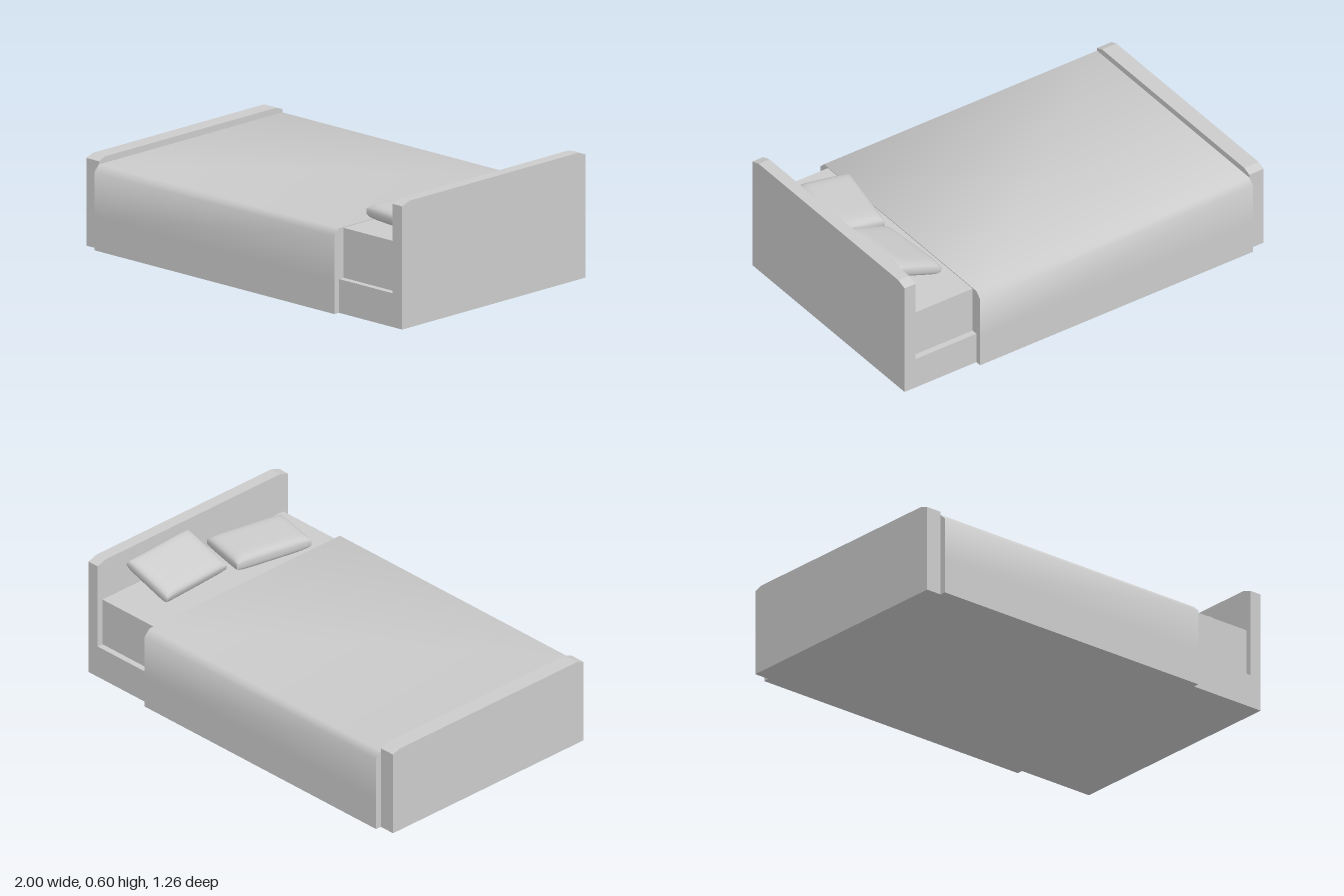
import * as THREE from 'three';
import { mergeVertices, toCreasedNormals } from 'three/addons/utils/BufferGeometryUtils.js';

const material = new THREE.MeshStandardMaterial({ color: 0xcccccc });

function part(name, geometry) {
  const mesh = new THREE.Mesh(geometry, material);
  mesh.name = name;
  return mesh;
}

// Box given by its x and y ranges, centred on z
function block(name, x0, x1, y0, y1, depth) {
  const geometry = new THREE.BoxGeometry(x1 - x0, y1 - y0, depth);
  geometry.translate((x0 + x1) / 2, (y0 + y1) / 2, 0);
  return part(name, geometry);
}

// Mirrored half profile of [z, y] points, running bottom to top, extruded along x
function profileAlongX(half, x0, x1) {
  const points = [...half, ...half.map(([z, y]) => [-z, y]).reverse()];
  const shape = new THREE.Shape(points.map(([z, y]) => new THREE.Vector2(z, y)));
  const geometry = new THREE.ExtrudeGeometry(shape, { depth: x1 - x0, bevelEnabled: false });
  return geometry.rotateY(Math.PI / 2).translate(x0, 0, 0);
}

// Cushion: square-cornered in plan, thinning smoothly towards its four edges
function pillow(name, width, thickness, length) {
  const geometry = new THREE.BoxGeometry(2, 2, 2, 14, 2, 14);
  geometry.deleteAttribute('uv');
  geometry.deleteAttribute('normal');
  const p = geometry.attributes.position;
  for (let i = 0; i < p.count; i++) {
    const u = Math.sin(p.getX(i) * Math.PI / 2);
    const v = Math.sin(p.getZ(i) * Math.PI / 2);
    const puff = Math.sqrt(Math.max(0, (1 - Math.abs(u) ** 8) * (1 - Math.abs(v) ** 8)));
    const y = p.getY(i) * (0.3 + 0.7 * puff);
    p.setXYZ(i, u * width / 2, y * thickness / 2, v * length / 2);
  }
  const smooth = mergeVertices(geometry);
  smooth.computeVertexNormals();
  return part(name, smooth);
}

export function createModel() {
  const bed = new THREE.Group();
  bed.name = 'bed';

  // Frame and mattress
  bed.add(block('frame', -0.92, 0.94, 0, 0.16, 1.2));
  bed.add(block('mattress', -0.92, 0.94, 0.16, 0.396, 1.14));

  // End boards with clipped top corners
  bed.add(part('headboard', profileAlongX([[0.6, 0], [0.6, 0.583], [0.55, 0.6]], 0.94, 1)));
  bed.add(part('footboard', profileAlongX([[0.6, 0], [0.6, 0.415], [0.56, 0.43]], -1, -0.92)));

  // Blanket hanging to the floor, with softly shaded folds
  const blanket = profileAlongX([[0.63, 0], [0.63, 0.16], [0.63, 0.37], [0.6, 0.4]], -0.92, 0.6);
  bed.add(part('blanket', toCreasedNormals(blanket, 0.9)));

  // Pillows: one lying flat, one leaning on the headboard
  const flat = pillow('flatPillow', 0.255, 0.078, 0.4);
  flat.position.set(0.757, 0.443, 0.243);
  flat.rotation.set(0, -0.2, 0.03, 'YXZ');
  const leaning = pillow('leaningPillow', 0.265, 0.075, 0.4);
  leaning.position.set(0.807, 0.492, -0.23);
  leaning.rotation.set(0, 0.06, 0.38, 'YXZ');
  bed.add(flat, leaning);

  return bed;
}
